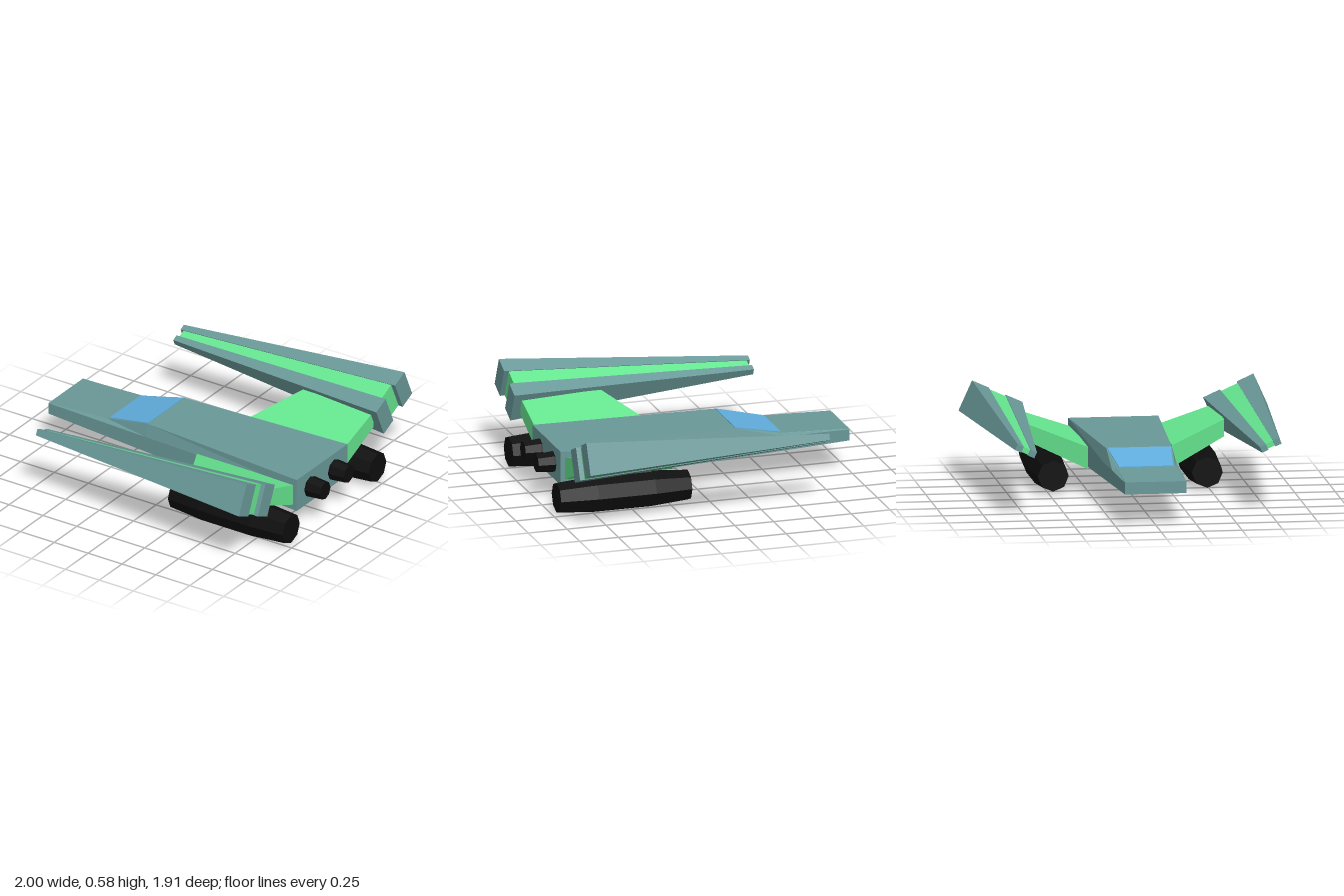
import * as THREE from 'three';

const mat = (name, color) => {
  const m = new THREE.MeshStandardMaterial({ color });
  m.name = name;
  return m;
};

// Loft along x through convex [z, y] outlines, with flat faces and end caps.
// stations: [{ x, pts }] ordered from low x to high x.
function loft(stations) {
  const area = stations[0].pts.reduce((s, p, i, a) => {
    const q = a[(i + 1) % a.length];
    return s + p[1] * q[0] - q[1] * p[0];
  }, 0);
  const rings = stations.map(({ x, pts }) => {
    const ring = pts.map(([z, y]) => [x, y, z]);
    return area < 0 ? ring.reverse() : ring;
  });
  const pos = [];
  const tri = (...v) => v.forEach((p) => pos.push(...p));
  const n = rings[0].length;
  for (let k = 0; k + 1 < rings.length; k++) {
    const a = rings[k], b = rings[k + 1];
    for (let i = 0; i < n; i++) {
      const j = (i + 1) % n;
      tri(a[i], a[j], b[j]);
      tri(a[i], b[j], b[i]);
    }
  }
  const first = rings[0], last = rings[rings.length - 1];
  for (let i = 1; i + 1 < n; i++) {
    tri(last[0], last[i], last[i + 1]);
    tri(first[0], first[i + 1], first[i]);
  }
  const g = new THREE.BufferGeometry();
  g.setAttribute('position', new THREE.Float32BufferAttribute(pos, 3));
  g.computeVertexNormals();
  return g;
}

// Eight-sided pod along x from [x, radius] pairs, with vertices on the axes.
function pod(profile, z, y) {
  return loft(profile.map(([x, r]) => ({
    x,
    pts: Array.from({ length: 8 }, (_, i) => {
      const t = (i * Math.PI) / 4;
      return [z + r * Math.cos(t), y + r * Math.sin(t)];
    }),
  })));
}

export function createModel() {
  const group = new THREE.Group();
  const hull = mat('hull teal', 0x6a9898);
  const green = mat('panel green', 0x65e58f);
  const glass = mat('canopy blue', 0x60addd);
  const black = mat('engine black', 0x0d0d0d);
  const add = (parent, name, geo, m) => {
    const mesh = new THREE.Mesh(geo, m);
    mesh.name = name;
    parent.add(mesh);
  };

  // Hull: half width, bottom, shoulder, top half width, top
  const hullSection = (x, w, yb, ys, tw, yt) => ({
    x, pts: [[-w, yb], [-w, ys], [-tw, yt], [tw, yt], [tw, yt], [w, ys], [w, yb]].filter((_, i) => i !== 4),
  });
  add(group, 'fuselage', loft([
    hullSection(-1, 0.19, 0.2, 0.272, 0.188, 0.275),
    hullSection(-0.57, 0.21, 0.184, 0.274, 0.18, 0.29),
    hullSection(-0.26, 0.225, 0.173, 0.275, 0.203, 0.357),
    hullSection(0.89, 0.28, 0.13, 0.28, 0.279, 0.345),
  ]), hull);

  // Canopy plate on the sloped step
  const plate = (x, w, y) => ({ x, pts: [[-w, y - 0.002], [-w, y + 0.004], [w, y + 0.004], [w, y - 0.002]] });
  add(group, 'canopy', loft([plate(-0.565, 0.168, 0.291), plate(-0.262, 0.197, 0.3566)]), glass);

  // Tail nozzles
  for (const z of [-0.13, 0.13]) {
    add(group, 'tailNozzle', pod([[0.8, 0.067], [0.9, 0.067], [1, 0.058]], z, 0.237), black);
  }

  // Wing assemblies, mirrored across z
  const tilt = 0.425, c = Math.cos(tilt), s = Math.sin(tilt);
  for (const side of [1, -1]) {
    const wing = new THREE.Group();
    wing.name = side > 0 ? 'frontWing' : 'backWing';
    group.add(wing);

    // Tilted section: u runs outward, v upward
    const tilted = (x, u0, u1, v) => ({
      x,
      pts: [[u0, -v], [u1, -v], [u1, v], [u0, v]].map(([u, w]) =>
        [side * (0.757 + u * c - w * s), 0.425 + u * s + w * c]),
    });
    add(wing, 'innerBlade', loft([tilted(-0.67, -0.065, -0.024, 0.02), tilted(0.915, -0.171, -0.057, 0.102)]), hull);
    add(wing, 'outerBlade', loft([tilted(-0.67, 0.024, 0.065, 0.02), tilted(0.915, 0.057, 0.171, 0.102)]), hull);
    add(wing, 'bladeCore', loft([tilted(-0.65, -0.03, 0.03, 0.017), tilted(0.885, -0.06, 0.06, 0.097)]), green);

    // Swept strut between hull and blades: loft across z by turning the x axis
    const strut = loft([
      { x: 0.26, pts: [[0.14, 0.157], [0.86, 0.157], [0.86, 0.295], [0.14, 0.295]] },
      { x: 0.61, pts: [[0.34, 0.306], [0.86, 0.306], [0.86, 0.412], [0.34, 0.412]] },
    ]);
    const p = strut.attributes.position;
    for (let i = 0; i < p.count; i++) p.setXYZ(i, p.getZ(i), p.getY(i), side * p.getX(i));
    // Swapping x and z mirrors the faces, so restore the winding on the +z side
    if (side > 0) {
      for (let i = 0; i < p.count; i += 3) {
        const a = [p.getX(i), p.getY(i), p.getZ(i)];
        p.setXYZ(i, p.getX(i + 1), p.getY(i + 1), p.getZ(i + 1));
        p.setXYZ(i + 1, ...a);
      }
    }
    strut.computeVertexNormals();
    add(wing, 'strut', strut, green);

    // Engine pod and its pylon
    const z = side * 0.477;
    add(wing, 'engine', pod([[0.135, 0.096], [0.37, 0.115], [0.74, 0.115], [0.98, 0.096]], z, 0.12), black);
    const pylon = new THREE.BoxGeometry(0.36, 0.08, 0.08);
    pylon.rotateX(-side * tilt);
    pylon.translate(0.55, 0.215, side * 0.452);
    add(wing, 'pylon', pylon, black);
  }
  return group;
}
